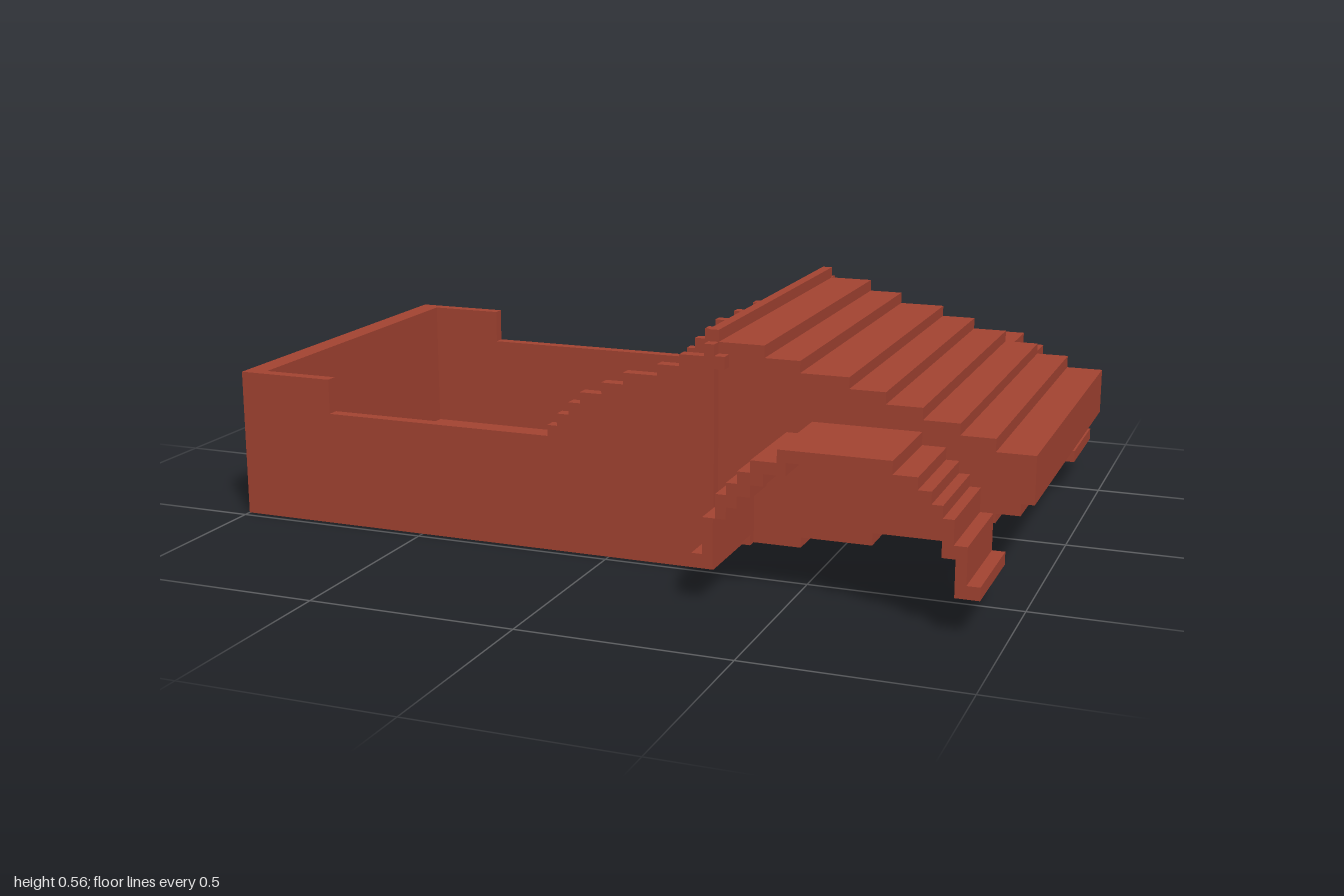
import * as THREE from 'three';

export function createModel() {
  const model = new THREE.Group();
  const red = new THREE.MeshStandardMaterial({ color: 0xa54432 });
  red.name = 'brick red';

  function add(name, geometry) {
    const mesh = new THREE.Mesh(geometry, red);
    mesh.name = name;
    model.add(mesh);
  }
  // box given by its minimum and maximum corners
  function box(name, x0, x1, y0, y1, z0, z1) {
    const g = new THREE.BoxGeometry(x1 - x0, y1 - y0, z1 - z0);
    g.translate((x0 + x1) / 2, (y0 + y1) / 2, (z0 + z1) / 2);
    add(name, g);
  }
  // extrude an xy outline from z0 to z1
  function slab(name, points, z0, z1) {
    const shape = new THREE.Shape(points.map(p => new THREE.Vector2(p[0], p[1])));
    const g = new THREE.ExtrudeGeometry(shape, { depth: z1 - z0, bevelEnabled: false });
    g.translate(0, 0, z0);
    add(name, g);
  }
  // the same outline on the left and right
  function sides(name, points, z0, z1) {
    slab(name + 'Left', points, z0, z1);
    slab(name + 'Right', points, -z1, -z0);
  }
  // staircase: each entry is [end x, height of that tread]
  function stairs(startX, treads) {
    const points = [];
    let x = startX;
    for (const [end, y] of treads) {
      points.push([x, y], [end, y]);
      x = end;
    }
    return points;
  }

  // open rear tub
  box('tubFloor', -1, 0.265, 0, 0.03, -0.45, 0.45);
  box('tailWall', -1, -0.945, 0.03, 0.37, -0.45, 0.45);
  box('bulkhead', 0.24, 0.265, 0.03, 0.565, -0.45, 0.45);
  const wallTop = stairs(-1, [[-0.75, 0.37], [-0.155, 0.283], [-0.13, 0.31], [-0.1, 0.34],
    [-0.07, 0.37], [-0.015, 0.397], [0.04, 0.425], [0.125, 0.453], [0.18, 0.48],
    [0.24, 0.508], [0.265, 0.537]]);
  sides('tubWall', [[-1, 0], ...wallTop, [0.265, 0]], 0.45, 0.48);
  sides('cowlLip', [[0.265, 0.48], [0.29, 0.48], [0.29, 0.51], [0.265, 0.51]], 0.45, 0.48);

  // stepped hood
  const hoodTop = stairs(0.265, [[0.375, 0.537], [0.46, 0.508], [0.575, 0.48], [0.66, 0.453],
    [0.745, 0.425], [0.83, 0.397], [0.91, 0.37], [1, 0.34]]);
  const hoodBottom = stairs(0.265, [[0.46, 0.06], [0.63, 0.085], [0.8, 0.115], [0.855, 0.142],
    [0.91, 0.17], [0.97, 0.2], [1, 0.228]]);
  slab('hood', [...hoodTop, ...hoodBottom.reverse()], -0.425, 0.425);

  // stepped wheel arch, outer and inner lines
  const outer = stairs(0.295, [[0.32, 0.115], [0.35, 0.2], [0.375, 0.256], [0.4, 0.284],
    [0.43, 0.312], [0.49, 0.34], [0.745, 0.37], [0.8, 0.34], [0.83, 0.312], [0.855, 0.284],
    [0.88, 0.256], [0.91, 0.2], [0.94, 0.115]]);
  const inner = stairs(0.345, [[0.375, 0.2], [0.4, 0.228], [0.43, 0.256], [0.46, 0.284],
    [0.51, 0.312], [0.72, 0.342], [0.775, 0.312], [0.8, 0.284], [0.83, 0.256],
    [0.855, 0.228], [0.885, 0.17]]);
  sides('fender', [[0.295, 0.085], ...outer, [0.94, 0.085], [0.885, 0.085],
    ...inner.slice().reverse(), [0.345, 0.085]], 0.45, 0.705);

  // hood side panels, cut out under the arches
  sides('hoodSide', [[0.265, 0.06], ...hoodTop, [1, 0.228], [0.97, 0.228], [0.97, 0.2],
    [0.885, 0.2], ...inner.slice(0, -1).reverse(), [0.345, 0.06]], 0.425, 0.45);

  return model;
}
